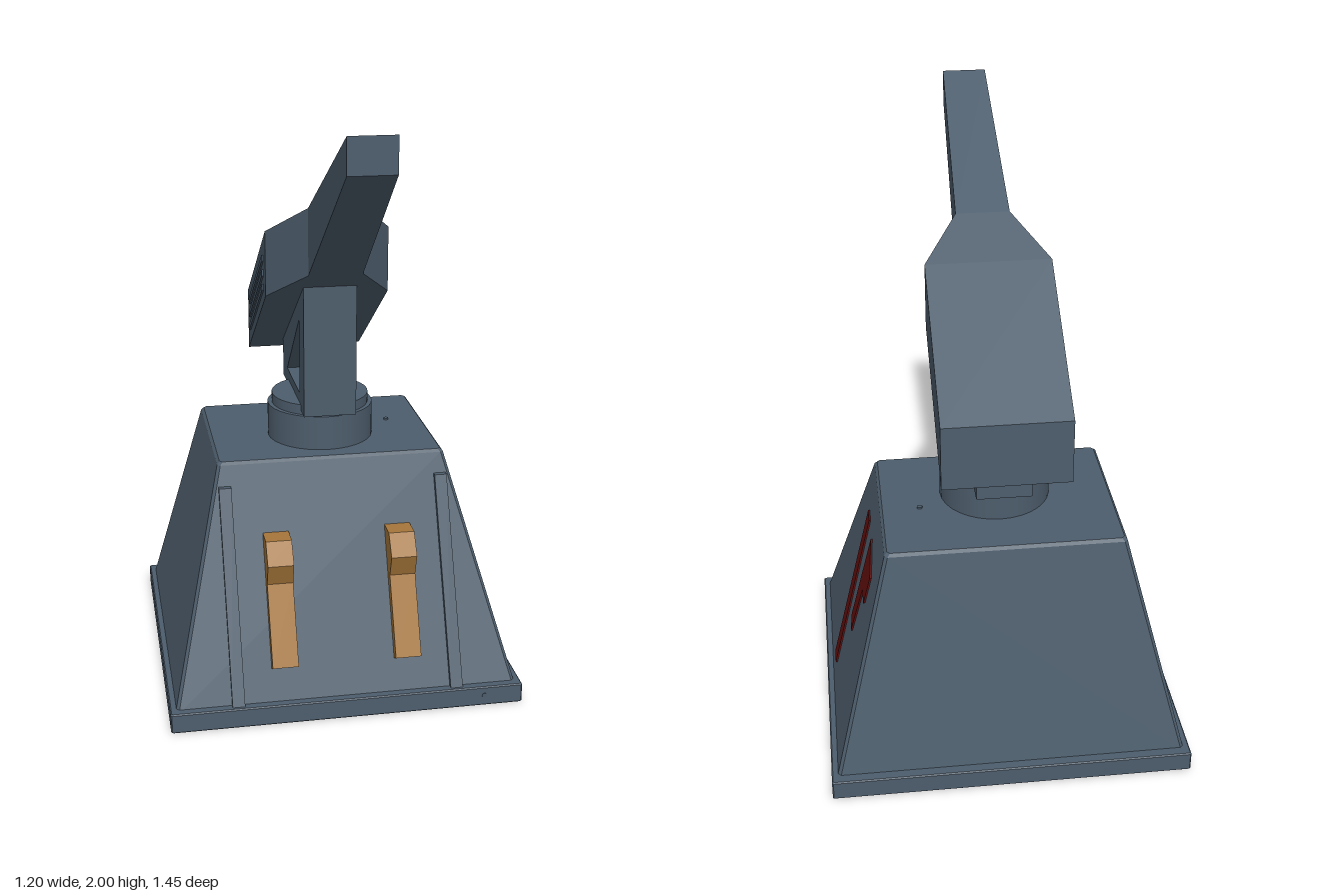
import * as THREE from 'three';
import { ConvexGeometry } from 'three/addons/geometries/ConvexGeometry.js';

const steel = new THREE.MeshStandardMaterial({ color: 0x4d5d6c });
steel.name = 'slate steel';
const orange = new THREE.MeshStandardMaterial({ color: 0xa5763a });
orange.name = 'orange';
const red = new THREE.MeshStandardMaterial({ color: 0x610e0e });
red.name = 'dark red';

// Sloped faces of the pedestal: position of the surface at height y
const frontZ = (y) => 0.41 - ((y - 0.07) * 0.33) / 0.74;
const sideX = (y) => 0.58 - ((y - 0.07) * 0.19) / 0.74;

function add(parent, name, geometry, material) {
  const mesh = new THREE.Mesh(geometry, material);
  mesh.name = name;
  parent.add(mesh);
  return mesh;
}

// Solid block through stacked rectangles [y, half width, back z, front z], corners cut by c
function stackedBlock(levels, c) {
  const points = [];
  for (const [y, w, z0, z1] of levels) {
    for (const s of [-1, 1]) {
      points.push(
        new THREE.Vector3(s * (w - c), y, z0), new THREE.Vector3(s * w, y, z0 + c),
        new THREE.Vector3(s * w, y, z1 - c), new THREE.Vector3(s * (w - c), y, z1));
    }
  }
  return new ConvexGeometry(points);
}

// Side profile of [z, y] points extruded across x, centred on x = 0
function sideProfile(points, width, hole) {
  const toVectors = (list) => list.map(([z, y]) => new THREE.Vector2(z, y));
  const shape = new THREE.Shape(toVectors(points));
  if (hole) shape.holes.push(new THREE.Path(toVectors(hole)));
  const geometry = new THREE.ExtrudeGeometry(shape, { depth: width, bevelEnabled: false });
  return geometry.rotateY(-Math.PI / 2).translate(width / 2, 0, 0);
}

// Loft through rectangles [z, half width, bottom y, top y], ordered back to front
function loftBeam(sections) {
  const corners = sections.map(([z, w, b, t]) => [[-w, b, z], [w, b, z], [w, t, z], [-w, t, z]]);
  const positions = [];
  const quad = (a, b, c, d) => positions.push(...a, ...b, ...c, ...a, ...c, ...d);
  for (let i = 0; i < corners.length - 1; i++) {
    const p = corners[i], q = corners[i + 1];
    for (let k = 0; k < 4; k++) {
      const n = (k + 1) % 4;
      quad(p[k], p[n], q[n], q[k]);
    }
  }
  const first = corners[0], last = corners[corners.length - 1];
  quad(first[3], first[2], first[1], first[0]);
  quad(last[0], last[1], last[2], last[3]);
  const geometry = new THREE.BufferGeometry();
  geometry.setAttribute('position', new THREE.Float32BufferAttribute(positions, 3));
  geometry.computeVertexNormals();
  return geometry;
}

// Thin marking laid onto the sloped +x face
function sideMarking(points) {
  const geometry = sideProfile(points, 0.006);
  const p = geometry.attributes.position;
  for (let i = 0; i < p.count; i++) p.setX(i, p.getX(i) + 0.003 + sideX(p.getY(i)));
  geometry.computeVertexNormals();
  return geometry;
}

export function createModel() {
  const model = new THREE.Group();
  model.name = 'antenna turret';

  // Base plate and tapered pedestal
  add(model, 'basePlate', stackedBlock([
    [0, 0.597, -0.722, 0.435], [0.004, 0.601, -0.726, 0.439],
    [0.066, 0.601, -0.726, 0.439], [0.07, 0.597, -0.722, 0.435]], 0.004), steel);
  add(model, 'pedestal', stackedBlock([
    [0.06, 0.582, -0.694, 0.414], [0.8, 0.393, -0.515, 0.084],
    [0.81, 0.384, -0.506, 0.075]], 0.01), steel);

  // Front rails and clamps, mirrored
  for (const s of [-1, 1]) {
    const rail = add(model, 'frontRail', sideProfile([
      [frontZ(0.07) - 0.02, 0.07], [frontZ(0.07) + 0.016, 0.07],
      [frontZ(0.735) + 0.018, 0.735], [frontZ(0.735) - 0.02, 0.735]], 0.042), steel);
    rail.position.x = s * 0.373;
    const clamp = add(model, 'frontClamp', sideProfile([
      [0.35, 0.17], [0.366, 0.17], [0.395, 0.185], [0.28, 0.44], [0.305, 0.515],
      [0.255, 0.585], [0.17, 0.585]], 0.088), orange);
    clamp.position.x = s * 0.21;
  }

  // Red markings on one side
  add(model, 'longMarking', sideMarking(
    [[-0.057, 0.69], [-0.125, 0.69], [-0.177, 0.132], [-0.11, 0.132]]), red);
  add(model, 'hookMarking', sideMarking([
    [-0.238, 0.69], [-0.395, 0.64], [-0.395, 0.542], [-0.32, 0.542],
    [-0.302, 0.363], [-0.242, 0.39]]), red);

  // Turntable
  const drum = add(model, 'turntable', new THREE.CylinderGeometry(0.185, 0.185, 0.125, 32), steel);
  drum.position.set(0, 0.8675, -0.165);
  const collar = add(model, 'turntableCollar', new THREE.CylinderGeometry(0.17, 0.17, 0.035, 32), steel);
  collar.position.set(0, 0.9475, -0.165);

  // Open triangular bracket holding the arm
  add(model, 'bracket', sideProfile(
    [[0.052, 0.945], [0.052, 1.4], [-0.435, 1.085], [-0.435, 0.945]], 0.18,
    [[-0.043, 1.268], [-0.043, 1.0], [-0.335, 1.0]]), steel);

  // Tilted arm, broad at the back and narrow toward the tip
  add(model, 'arm', loftBeam([
    [-0.507, 0.208, 1.034, 1.253], [-0.01, 0.208, 1.36, 1.58],
    [0.155, 0.09, 1.465, 1.686], [0.727, 0.074, 1.888, 2.0]]), steel);

  // Vent strips on the far side of the arm
  const slope = 0.656;
  for (const rise of [0.04, 0.09, 0.14]) {
    const y = (z) => 1.034 + rise + (z + 0.507) * slope;
    const vent = add(model, 'armVent', sideProfile([
      [-0.44, y(-0.44)], [-0.06, y(-0.06)], [-0.06, y(-0.06) + 0.022],
      [-0.44, y(-0.44) + 0.022]], 0.008), steel);
    vent.position.x = -0.21;
  }

  // Small studs on the pedestal top and base plate front
  const topStud = add(model, 'topStud', new THREE.CylinderGeometry(0.009, 0.009, 0.008, 12), steel);
  topStud.position.set(0.26, 0.812, -0.25);
  const frontStud = add(model, 'frontStud', new THREE.CylinderGeometry(0.009, 0.009, 0.006, 12), steel);
  frontStud.rotation.x = Math.PI / 2;
  frontStud.position.set(0.468, 0.038, 0.438);

  return model;
}
